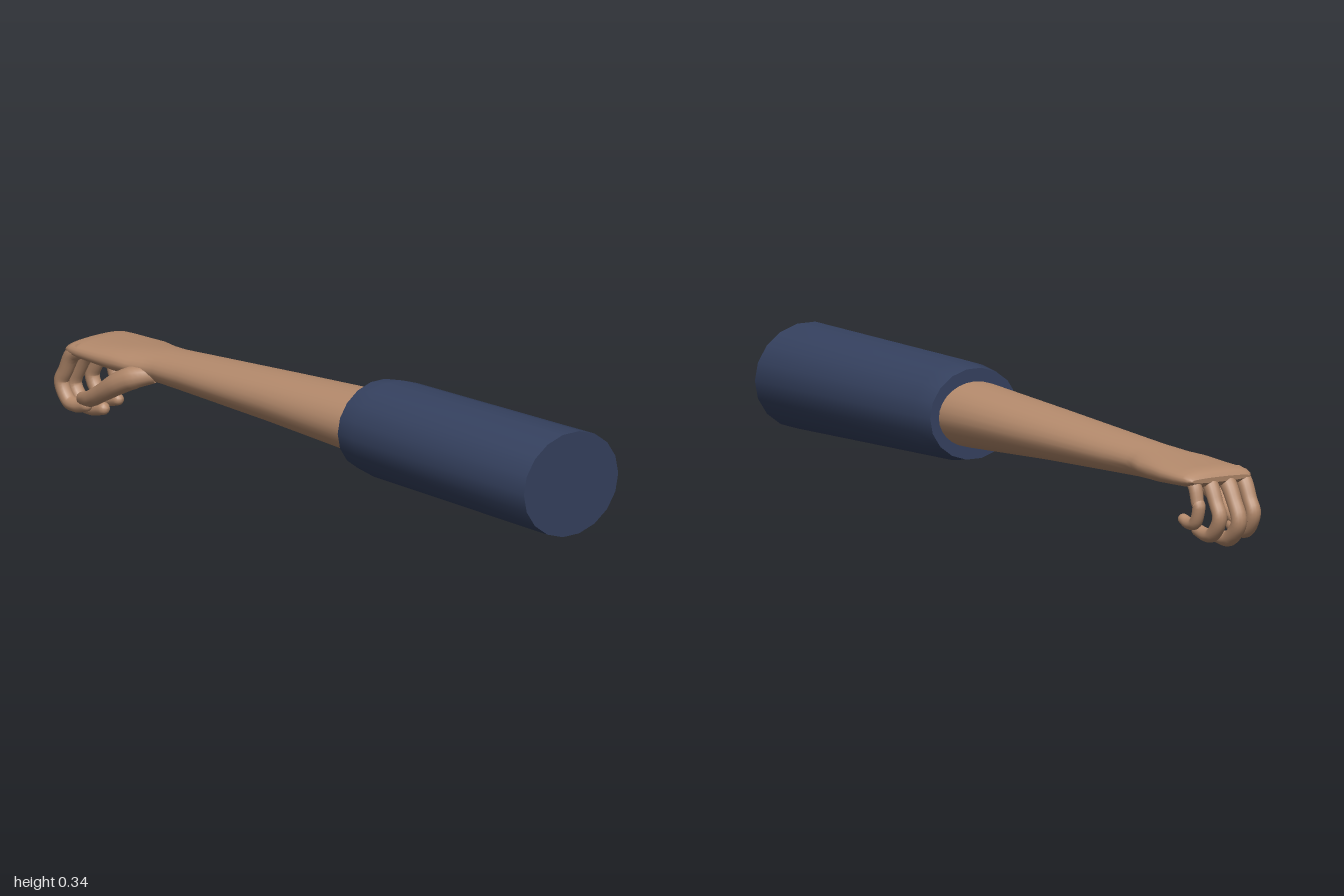
import * as THREE from 'three';

const skin = new THREE.MeshStandardMaterial({ color: 0xb48a6c });
skin.name = 'skin';
const cloth = new THREE.MeshStandardMaterial({ color: 0x35415f });
cloth.name = 'navy cloth';

// Loft of elliptical rings [x, y, z, rx, ry]; power < 1 squares the section
function loft(rings, sides, power = () => 1) {
  const pos = [], idx = [];
  const centres = rings.map(r => new THREE.Vector3(r[0], r[1], r[2]));
  const spow = (v, p) => Math.sign(v) * Math.abs(v) ** p;
  const addRing = i => {
    const t = centres[Math.min(i + 1, rings.length - 1)].clone().sub(centres[Math.max(i - 1, 0)]).normalize();
    const u = new THREE.Vector3(1, 0, 0).addScaledVector(t, -t.x).normalize();
    const v = u.clone().cross(t);
    const first = pos.length / 3, p = power(rings[i][2]);
    for (let j = 0; j < sides; j++) {
      const a = j / sides * Math.PI * 2;
      const q = centres[i].clone()
        .addScaledVector(u, spow(Math.cos(a), p) * rings[i][3])
        .addScaledVector(v, spow(Math.sin(a), p) * rings[i][4]);
      pos.push(q.x, q.y, q.z);
    }
    return first;
  };
  rings.forEach((r, i) => addRing(i));
  for (let i = 0; i < rings.length - 1; i++) {
    for (let j = 0; j < sides; j++) {
      const k = (j + 1) % sides, a = i * sides, b = a + sides;
      idx.push(a + j, b + j, a + k, a + k, b + j, b + k);
    }
  }
  // Flat end caps with their own corners
  for (const end of [0, rings.length - 1]) {
    const f = addRing(end), c = pos.length / 3;
    pos.push(...centres[end].toArray());
    for (let j = 0; j < sides; j++) {
      const k = (j + 1) % sides;
      if (end === 0) idx.push(c, f + j, f + k);
      else idx.push(c, f + k, f + j);
    }
  }
  const g = new THREE.BufferGeometry();
  g.setAttribute('position', new THREE.Float32BufferAttribute(pos, 3));
  g.setIndex(idx);
  g.computeVertexNormals();
  return g;
}

// Tapered finger along a curve through [x, y, z, radius], with a round tip
function digit(points, steps = 5) {
  const curve = new THREE.CatmullRomCurve3(points.map(p => new THREE.Vector3(p[0], p[1], p[2])));
  const n = points.length - 1, rings = [];
  for (let s = 0; s <= n * steps; s++) {
    const i = Math.min(Math.floor(s / steps), n - 1);
    const c = curve.getPoint(s / (n * steps));
    const r = THREE.MathUtils.lerp(points[i][3], points[i + 1][3], s / steps - i);
    rings.push([c.x, c.y, c.z, r, r]);
  }
  const tip = curve.getPoint(1), dir = curve.getTangent(1), r = points[n][3];
  for (const a of [0.4, 0.8, 1.15, 1.5]) {
    const c = tip.clone().addScaledVector(dir, Math.sin(a) * r);
    rings.push([c.x, c.y, c.z, Math.cos(a) * r, Math.cos(a) * r]);
  }
  return loft(rings, 14);
}

export function createModel() {
  const model = new THREE.Group();
  const add = (name, geometry, material) => {
    const mesh = new THREE.Mesh(geometry, material);
    mesh.name = name;
    model.add(mesh);
  };

  // Sleeve with a slightly drawn-in cuff
  add('sleeve', loft([
    [0, 0.207, 1, 0.168, 0.144],
    [0, 0.209, 0.29, 0.152, 0.134],
    [0, 0.209, 0.22, 0.143, 0.124],
  ], 18), cloth);

  // Forearm flowing into the flat palm
  add('forearmAndPalm', loft([
    [0, 0.208, 0.26, 0.116, 0.089],
    [0, 0.208, 0.2, 0.114, 0.088],
    [0, 0.205, -0.15, 0.099, 0.069],
    [0, 0.199, -0.5, 0.084, 0.052],
    [0, 0.197, -0.6, 0.081, 0.047],
    [0.001, 0.196, -0.64, 0.088, 0.045],
    [0.003, 0.195, -0.69, 0.1, 0.041],
    [0.005, 0.195, -0.75, 0.108, 0.036],
    [0.008, 0.194, -0.82, 0.112, 0.031],
    [0.009, 0.194, -0.88, 0.113, 0.028],
    [0.009, 0.194, -0.915, 0.11, 0.026],
    [0.009, 0.193, -0.933, 0.104, 0.019],
    [0.009, 0.192, -0.942, 0.095, 0.007],
  ], 28, z => z < -0.7 ? 0.82 : 1), skin);

  // Curled fingers: [name, x, lowest centre y, foremost z, tip z, radius]
  const fingers = [
    ['indexFinger', -0.079, 0.041, -0.967, -0.868, 0.0205],
    ['middleFinger', -0.025, 0.024, -0.978, -0.86, 0.0215],
    ['ringFinger', 0.031, 0.038, -0.968, -0.865, 0.02],
    ['littleFinger', 0.081, 0.073, -0.942, -0.87, 0.0175],
  ];
  for (const [name, x, low, front, tip, r] of fingers) {
    add(name, digit([
      [x, 0.196, -0.885, r],
      [x, 0.18, -0.921, r * 1.1],
      [x, 0.13, (front - 0.921) / 2 - 0.006, r],
      [x, low + 0.054, front, r * 1.03],
      [x, low + 0.006, (front + tip) / 2 - 0.02, r],
      [x, low, (front + tip) / 2 + 0.01, r * 0.95],
      [x, low + 0.008, tip, r * 0.85],
    ]), skin);
  }

  // Thumb reaching down towards the index fingertip
  add('thumb', digit([
    [-0.055, 0.182, -0.62, 0.024],
    [-0.088, 0.168, -0.67, 0.032],
    [-0.101, 0.145, -0.715, 0.031],
    [-0.104, 0.108, -0.775, 0.025],
    [-0.096, 0.079, -0.83, 0.023],
    [-0.084, 0.068, -0.875, 0.018],
  ]), skin);

  return model;
}
